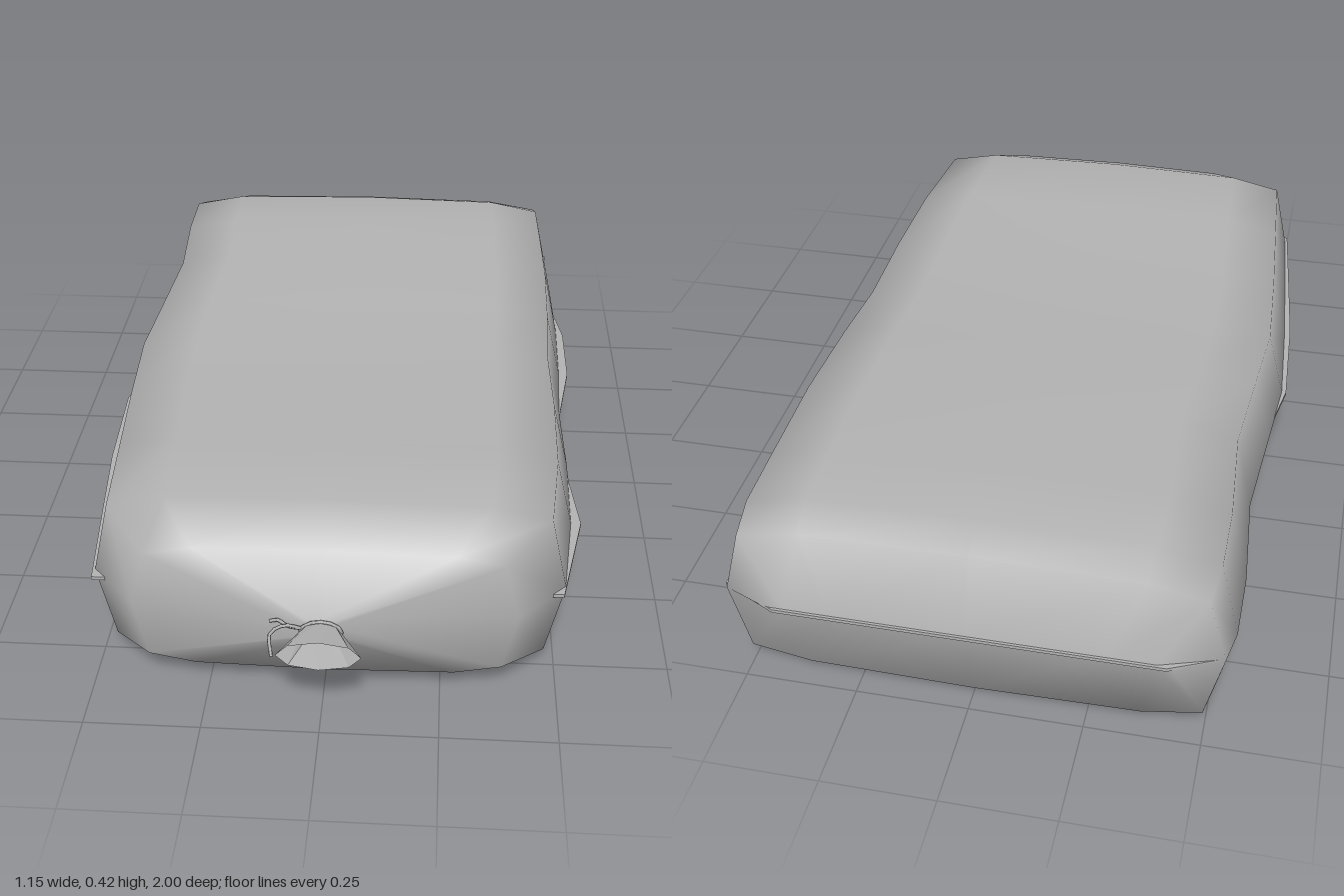
import * as THREE from 'three';

const MID = 0.205;

// Cross-sections from front to back: [z, +x half width, -x half width, bottom, top]
const RINGS = [
  [0.918, 0.002, 0.002, 0.204, 0.206],
  [0.914, 0.05, 0.05, 0.18, 0.23],
  [0.85, 0.41, 0.41, 0.045, 0.36],
  [0.74, 0.515, 0.51, 0.003, 0.412],
  [0.5, 0.54, 0.53, 0.003, 0.405],
  [0.25, 0.545, 0.55, 0, 0.402],
  [0, 0.54, 0.565, 0, 0.402],
  [-0.2, 0.55, 0.55, 0, 0.41],
  [-0.45, 0.555, 0.532, 0, 0.42],
  [-0.7, 0.55, 0.55, 0, 0.42],
  [-0.87, 0.545, 0.55, 0, 0.422],
  [-0.95, 0.54, 0.535, 0.012, 0.39],
  [-0.995, 0.43, 0.43, MID, MID],
];

// Section outline as fractions: x of half width, y from the middle to top or bottom
const QUARTER = [[1, 0], [0.925, 0.84], [0.68, 0.965]];
const SECTION = [
  ...QUARTER, [0, 1],
  ...QUARTER.slice(1).reverse().map(([x, y]) => [-x, y]), [-1, 0],
  ...QUARTER.slice(1).map(([x, y]) => [-x, -y]), [0, -1],
  ...QUARTER.slice(1).reverse().map(([x, y]) => [x, -y]),
];

function sackGeometry() {
  const pos = [], index = [], n = SECTION.length;
  for (const [z, right, left, bottom, top] of RINGS) {
    for (const [fx, fy] of SECTION) {
      pos.push(fx * (fx > 0 ? right : left), MID + fy * (fy > 0 ? top - MID : MID - bottom), z);
    }
  }
  for (let i = 0; i < RINGS.length - 1; i++) {
    for (let j = 0; j < n; j++) {
      const k = (j + 1) % n;
      const a = i * n + j, b = i * n + k, c = a + n, d = b + n;
      index.push(a, c, b, b, c, d);
    }
  }
  const geo = new THREE.BufferGeometry();
  geo.setAttribute('position', new THREE.Float32BufferAttribute(pos, 3));
  geo.setIndex(index);
  geo.computeVertexNormals();
  return geo;
}

// Thin welt that peeks out where the sides bulge; outline is [x, z]
function seamGeometry() {
  const outline = [
    [0.51, 0.77], [0.562, 0.5], [0.545, 0.33], [0.535, 0.05], [0.572, -0.2], [0.572, -0.42],
    [0.547, -0.58], [0.53, -0.75], [0.546, -0.94], [0.42, -1],
    [-0.42, -1], [-0.53, -0.95], [-0.53, -0.75], [-0.52, -0.45], [-0.54, -0.2],
    [-0.575, 0], [-0.562, 0.28], [-0.54, 0.5], [-0.512, 0.77],
  ];
  const shape = new THREE.Shape(outline.map(([x, z]) => new THREE.Vector2(x, z)));
  const geo = new THREE.ExtrudeGeometry(shape, { depth: 0.008, bevelEnabled: false });
  return geo.rotateX(Math.PI / 2).translate(0, MID + 0.004, 0);
}

export function createModel() {
  const model = new THREE.Group();
  const cloth = new THREE.MeshStandardMaterial({ color: 0xb4b4b4 });
  const faceted = new THREE.MeshStandardMaterial({ color: 0xb4b4b4, flatShading: true, side: THREE.DoubleSide });
  cloth.name = 'grey cloth';
  faceted.name = 'grey gathered cloth';

  const add = (name, geo, mat) => {
    const mesh = new THREE.Mesh(geo, mat);
    mesh.name = name;
    model.add(mesh);
    return mesh;
  };

  add('sackBody', sackGeometry(), cloth);
  add('sideSeam', seamGeometry(), cloth);

  // Open, flattened flare of gathered cloth
  const neck = new THREE.CylinderGeometry(0.088, 0.036, 0.09, 8, 1, true);
  neck.rotateX(Math.PI / 2);
  const p = neck.attributes.position;
  for (let i = 0; i < p.count; i++) p.setY(i, p.getY(i) * (p.getZ(i) > 0 ? 0.4 : 0.62));
  add('neckFlare', neck, faceted).position.set(0, 0.203, 0.955);

  // Cord around the neck with two loose ends
  const tie = add('neckTie', new THREE.TorusGeometry(0.042, 0.005, 5, 12), cloth);
  tie.scale.y = 0.62;
  tie.position.set(0, 0.203, 0.92);
  const ends = [
    [[-0.04, 0.21, 0.92], [-0.075, 0.22, 0.925], [-0.105, 0.205, 0.935], [-0.1, 0.17, 0.965]],
    [[-0.04, 0.21, 0.92], [-0.07, 0.215, 0.92], [-0.09, 0.222, 0.91], [-0.108, 0.215, 0.905]],
  ];
  for (const points of ends) {
    const curve = new THREE.CatmullRomCurve3(points.map((q) => new THREE.Vector3(...q)));
    add('tieEnd', new THREE.TubeGeometry(curve, 8, 0.004, 5), cloth);
  }
  return model;
}
